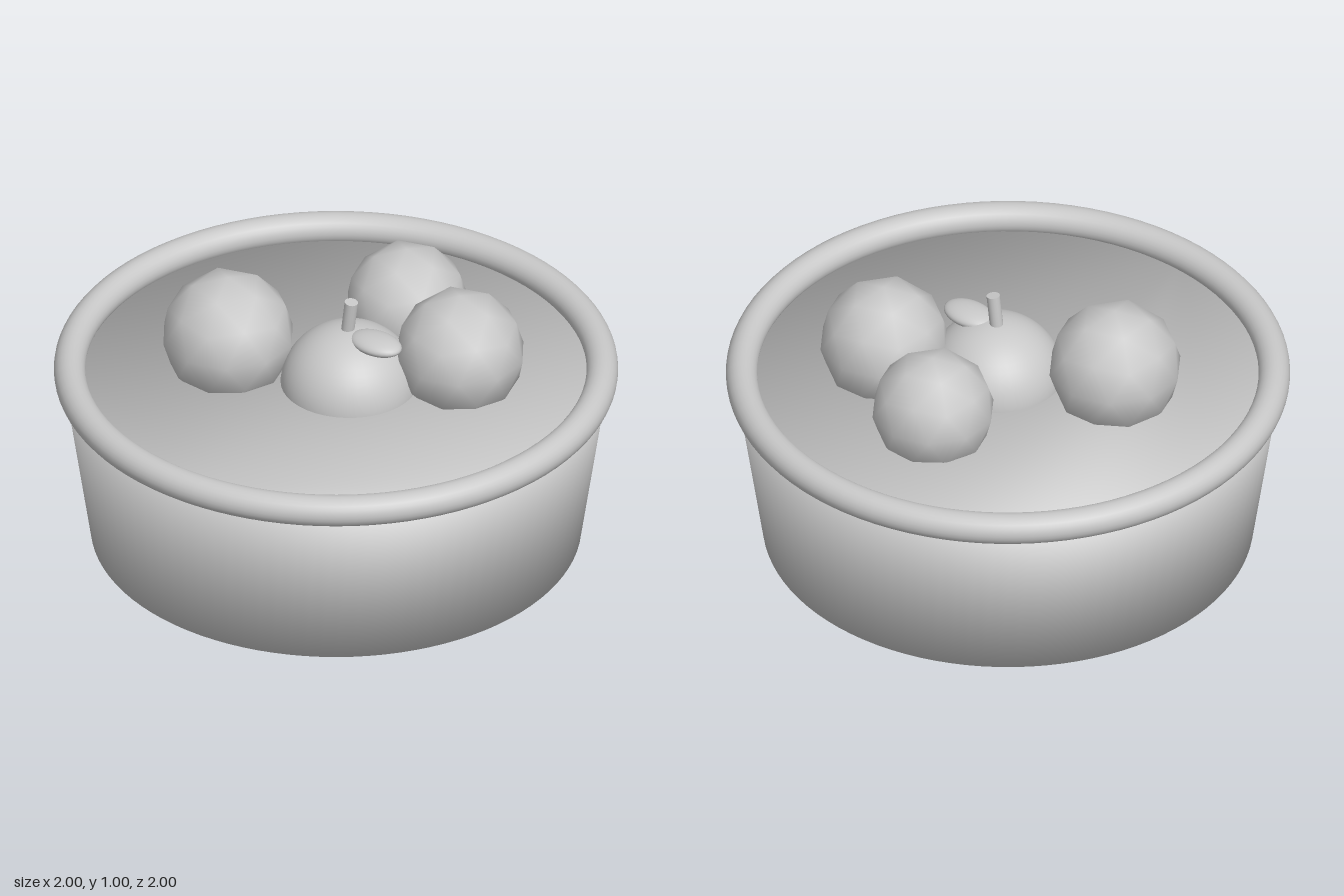
import * as THREE from 'three';

const grey = new THREE.MeshStandardMaterial({ color: 0xc8c8c8 });
grey.name = 'plain grey';

function add(group, name, geometry, x, y, z) {
  const mesh = new THREE.Mesh(geometry, grey);
  mesh.name = name;
  mesh.position.set(x, y, z);
  group.add(mesh);
  return mesh;
}

// Solid tapered tub: two rings, a wall and two flat caps, with normals softened across the edges
function tubGeometry(bottomRadius, topRadius, height, sides) {
  const positions = [], normals = [], index = [];
  const tilt = Math.atan2(topRadius - bottomRadius, height);
  const normal = new THREE.Vector3();
  for (const [radius, y, up] of [[bottomRadius, 0, -1], [topRadius, height, 1]]) {
    for (let i = 0; i < sides; i++) {
      const a = (i / sides) * Math.PI * 2;
      const s = Math.sin(a), c = Math.cos(a);
      positions.push(radius * s, y, radius * c);
      normal.set(s * Math.cos(tilt), up - Math.sin(tilt), c * Math.cos(tilt)).normalize();
      normals.push(normal.x, normal.y, normal.z);
    }
  }
  for (let i = 0; i < sides; i++) {
    const j = (i + 1) % sides;
    index.push(i, j, sides + j, i, sides + j, sides + i);
    if (i > 0 && j > 0) {
      index.push(0, j, i); // base
      index.push(sides, sides + i, sides + j); // top
    }
  }
  const geometry = new THREE.BufferGeometry();
  geometry.setAttribute('position', new THREE.Float32BufferAttribute(positions, 3));
  geometry.setAttribute('normal', new THREE.Float32BufferAttribute(normals, 3));
  geometry.setIndex(index);
  return geometry;
}

// Coarse round fruit, turned so that one corner points straight up
function fruitGeometry(radius) {
  return new THREE.IcosahedronGeometry(radius, 1)
    .rotateX(-Math.atan((1 + Math.sqrt(5)) / 2))
    .rotateY(Math.PI / 2);
}

export function createModel() {
  const model = new THREE.Group();
  model.name = 'fruitTub';

  // Container
  add(model, 'tub', tubGeometry(0.87, 0.964, 0.63, 96), 0, 0, 0);
  add(model, 'rim', new THREE.TorusGeometry(0.944, 0.056, 24, 96).rotateX(Math.PI / 2), 0, 0.66, 0);

  // Three coarse fruits: radius, x, y, z
  const fruits = [
    [0.239, -0.35, 0.756, 0.172],
    [0.233, 0.375, 0.757, -0.235],
    [0.221, 0, 0.732, -0.415],
  ];
  fruits.forEach(([radius, x, y, z], i) => add(model, `roundFruit${i + 1}`, fruitGeometry(radius), x, y, z));

  // Smooth fruit with a stem and a leaf
  const apple = new THREE.Group();
  apple.name = 'apple';
  model.add(apple);
  add(apple, 'appleBody', new THREE.SphereGeometry(0.245, 40, 28).scale(1, 0.94, 1), 0.06, 0.62, 0);
  const stem = add(apple, 'stem', new THREE.CylinderGeometry(0.024, 0.024, 0.16, 16), 0.058, 0.885, 0);
  stem.rotation.z = -0.13;
  add(apple, 'leaf', new THREE.SphereGeometry(1, 28, 18).scale(0.104, 0.032, 0.068), 0.178, 0.834, 0);

  return model;
}
